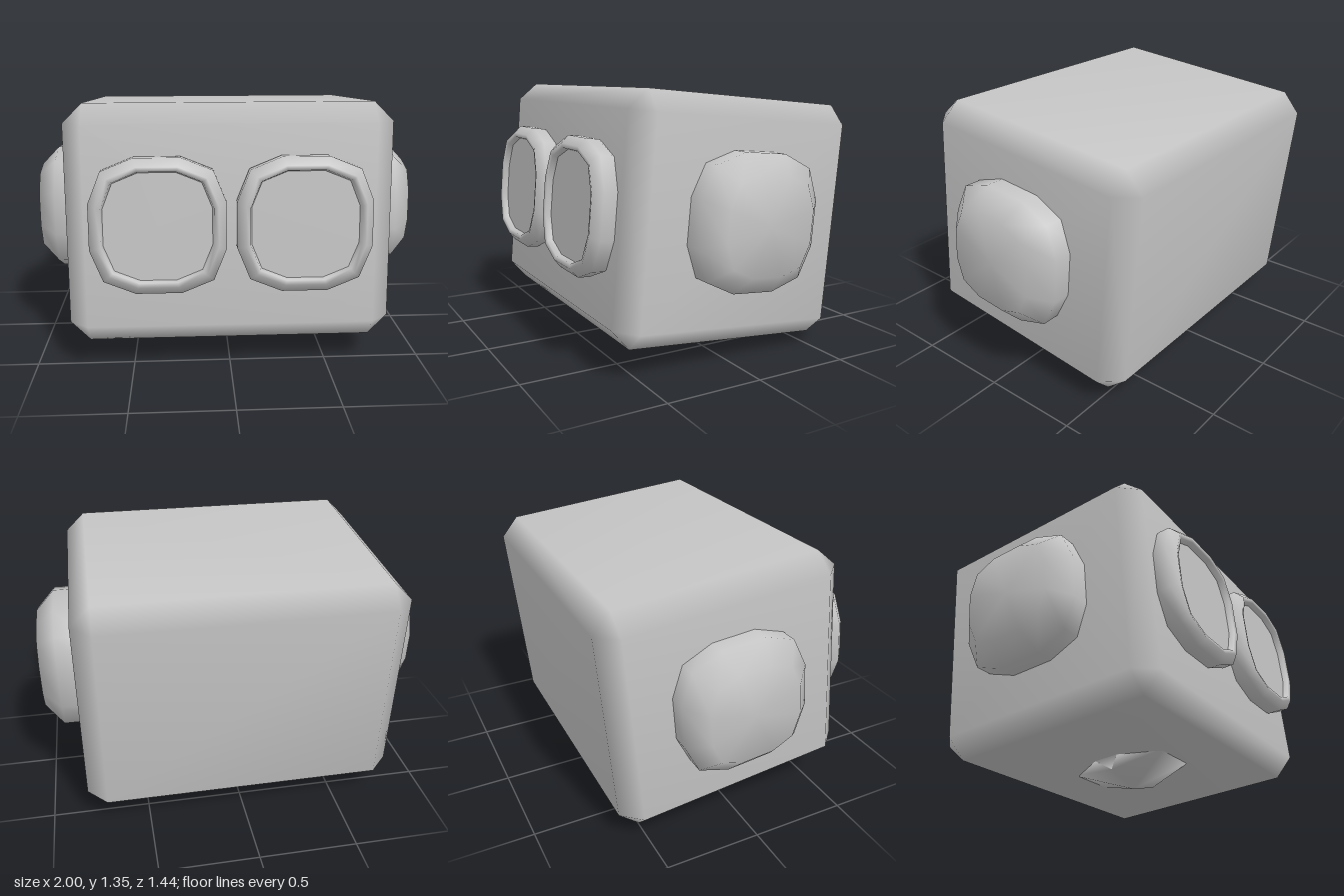
import * as THREE from 'three';
import { mergeVertices } from 'three/addons/utils/BufferGeometryUtils.js';
import { ConvexGeometry } from 'three/addons/geometries/ConvexGeometry.js';

// Rounded-square outline with 12 corners, half width 1
const outline = [];
for (let q = 0; q < 4; q++) {
  for (const [x, y] of [[1, -0.34], [1, 0.34], [0.81, 0.81]]) {
    const p = new THREE.Vector2(x, y).rotateAround(new THREE.Vector2(), q * Math.PI / 2);
    outline.push(p);
  }
}

// Skins rings of [half width, z] into a smooth surface running outward along +z
function loft(rings, capped) {
  const pos = [], index = [], n = outline.length;
  for (const [s, z] of rings) for (const p of outline) pos.push(p.x * s, p.y * s, z);
  for (let i = 0; i < rings.length - 1; i++) {
    for (let j = 0; j < n; j++) {
      const a = i * n + j, b = i * n + (j + 1) % n;
      index.push(a, b, b + n, a, b + n, a + n);
    }
  }
  if (capped) {
    const last = (rings.length - 1) * n;
    pos.push(0, 0, rings[rings.length - 1][1]);
    for (let j = 0; j < n; j++) index.push(last + j, last + (j + 1) % n, last + n);
  }
  const g = new THREE.BufferGeometry();
  g.setAttribute('position', new THREE.Float32BufferAttribute(pos, 3));
  g.setIndex(index);
  g.computeVertexNormals();
  return g;
}

// Convex solid with normals shared across its edges
function smoothHull(points) {
  let g = new ConvexGeometry(points);
  g.deleteAttribute('normal');
  g = mergeVertices(g, 1e-3);
  g.computeVertexNormals();
  return g;
}

export function createModel() {
  const model = new THREE.Group();
  const grey = new THREE.MeshStandardMaterial({ color: 0xc4c4c4 });
  grey.name = 'grey';

  // The whole head leans slightly back
  const head = new THREE.Group();
  head.name = 'head';
  head.position.set(0, 0.709, -0.044);
  head.rotation.x = -0.0905;
  model.add(head);

  const add = (name, geometry, x = 0, y = 0, z = 0) => {
    const mesh = new THREE.Mesh(geometry, grey);
    mesh.name = name;
    mesh.position.set(x, y, z);
    head.add(mesh);
    return mesh;
  };

  // Box with a single bevel on every edge
  const W = 0.815, H = 0.6, D = 0.632, B = 0.098;
  const corners = [];
  for (const x of [-1, 1]) for (const y of [-1, 1]) for (const z of [-1, 1]) {
    corners.push(
      new THREE.Vector3(x * W, y * (H - B), z * (D - B)),
      new THREE.Vector3(x * (W - B), y * H, z * (D - B)),
      new THREE.Vector3(x * (W - B), y * (H - B), z * D));
  }
  add('skull', smoothHull(corners));

  // Shallow pointed neck under the box
  const neck = [new THREE.Vector3(0, -0.707, 0)];
  for (const x of [-1, 1]) {
    neck.push(new THREE.Vector3(x * 0.2, -0.65, 0));
    for (const z of [-1, 1]) {
      neck.push(new THREE.Vector3(x * 0.255, -0.59, z * 0.08),
        new THREE.Vector3(x * 0.13, -0.592, z * 0.285));
    }
  }
  add('neck', smoothHull(neck));

  // Eyes with raised rims, and ears, mirrored left and right
  const rim = loft([[0.31, 0.6], [0.33, 0.645], [0.33, 0.703], [0.29, 0.743], [0.268, 0.738], [0.26, 0.705]], false);
  const panel = loft([[0.262, 0.71]], true);
  const ear = loft([[0.33, 0.75], [0.33, 0.905], [0.235, 1]], true);
  for (const [side, s] of [['left', 1], ['right', -1]]) {
    add(side + 'EyeRim', rim, s * 0.355, 0.02);
    add(side + 'EyePanel', panel, s * 0.355, 0.02);
    add(side + 'Ear', ear, 0, 0.02).rotation.y = s * Math.PI / 2;
  }
  return model;
}
